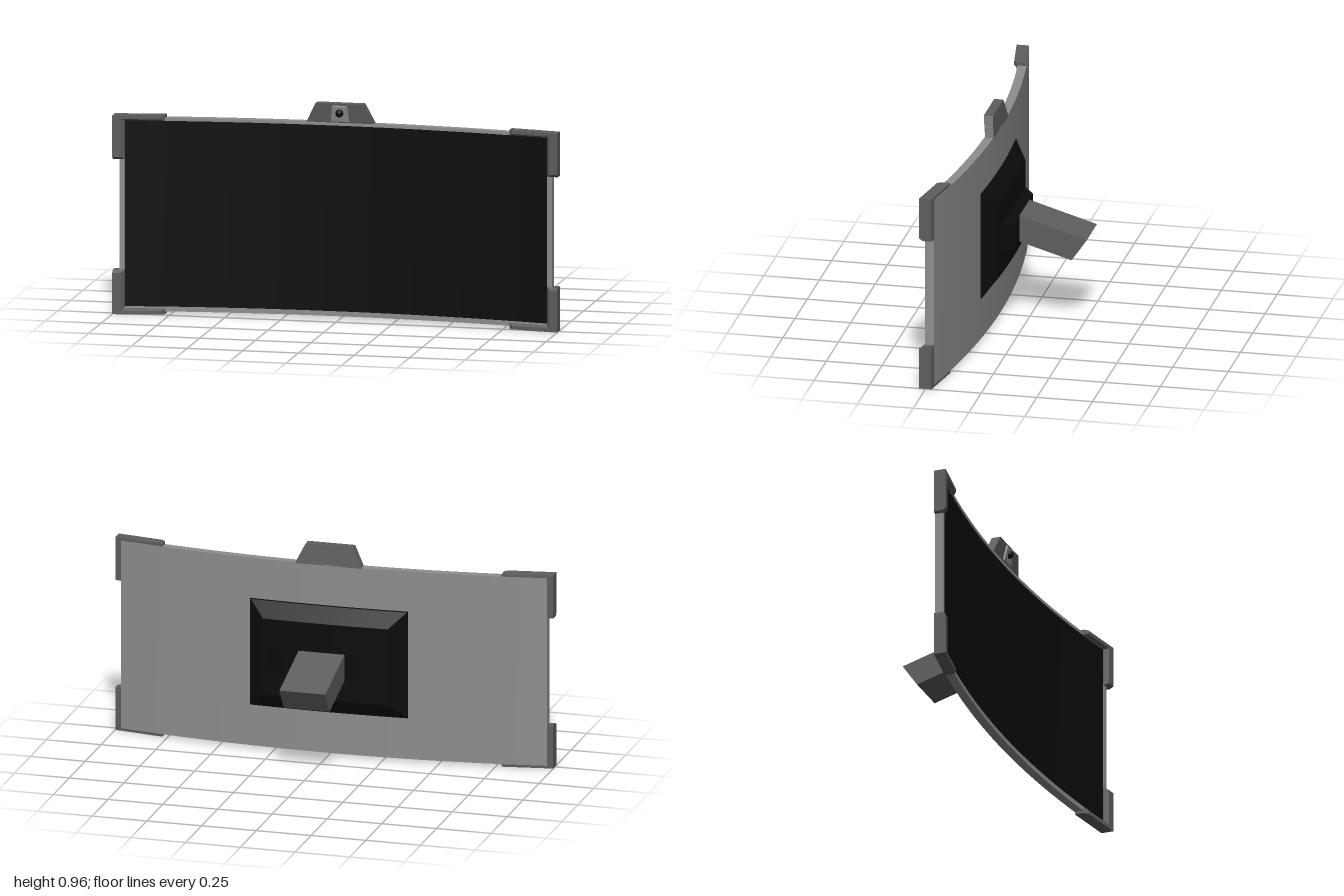
import * as THREE from 'three';

const H = 0.887; // total panel height, brackets included
const mat = (name, color) => {
  const m = new THREE.MeshStandardMaterial({ color });
  m.name = name;
  return m;
};

// Move every vertex by a rule, then refresh the normals
function warp(geo, rule) {
  const p = geo.attributes.position, v = new THREE.Vector3();
  for (let i = 0; i < p.count; i++) {
    rule(v.fromBufferAttribute(p, i));
    p.setXYZ(i, v.x, v.y, v.z);
  }
  geo.computeVertexNormals();
  return geo;
}

// Curve of the panel; z = 0 is the back of the panel
const bend = (v) => { v.z += 0.13 + 0.092 * v.x * v.x; };

// Box between two corners, curved with the panel
function bentBox(x0, x1, y0, y1, z0, z1, segments) {
  const geo = new THREE.BoxGeometry(x1 - x0, y1 - y0, z1 - z0, segments, 1, 1);
  geo.translate((x0 + x1) / 2, (y0 + y1) / 2, (z0 + z1) / 2);
  return warp(geo, bend);
}

// Six-sided block: unit box whose corners are placed by a rule
const block = (rule, segments = 1) => warp(new THREE.BoxGeometry(1, 1, 1, segments, 1, 1), rule);

export function createModel() {
  const model = new THREE.Group();
  const shell = mat('shellGrey', 0x8e8e8e);
  const dark = mat('darkGrey', 0x5e5e5e);
  const black = mat('black', 0x0b0b0b);
  const add = (name, geo, material) => {
    const mesh = new THREE.Mesh(geo, material);
    mesh.name = name;
    model.add(mesh);
    return mesh;
  };

  // Curved back shell and raised rim
  const X = 0.973, Y0 = 0.012, Y1 = 0.875, SX = 0.95, SY0 = 0.033, SY1 = 0.862;
  add('shell', bentBox(-X, X, Y0, Y1, 0, 0.03, 24), shell);
  add('rimTop', bentBox(-X, X, SY1, Y1, 0.03, 0.04, 24), shell);
  add('rimBottom', bentBox(-X, X, Y0, SY0, 0.03, 0.04, 24), shell);
  for (const s of [-1, 1]) {
    const a = Math.min(s * SX, s * X), b = Math.max(s * SX, s * X);
    add(s > 0 ? 'rimLeft' : 'rimRight', bentBox(a, b, SY0, SY1, 0.03, 0.04, 1), shell);
  }

  // Screen
  add('screen', bentBox(-SX, SX, SY0, SY1, 0.03, 0.036, 24), black);

  // L-shaped corner brackets, chamfered towards the screen
  const outline = [[1, H], [0.775, H], [0.775, 0.862], [0.95, 0.862], [0.95, 0.69], [1, 0.69]];
  const chamfered = [[1, H], [0.79, H], [0.79, 0.871], [0.963, 0.871], [0.963, 0.702], [1, 0.702]];
  for (const sx of [-1, 1]) for (const top of [true, false]) {
    const place = ([x, y]) => new THREE.Vector2(sx * x, top ? y : H - y);
    const from = outline.map(place), to = chamfered.map(place);
    const geo = new THREE.ExtrudeGeometry(new THREE.Shape(from), { depth: 0.057, bevelEnabled: false, steps: 2 });
    warp(geo, (v) => {
      if (v.z > 0.05) {
        const i = from.findIndex((q) => Math.hypot(q.x - v.x, q.y - v.y) < 1e-4);
        v.x = to[i].x;
        v.y = to[i].y;
      } else if (v.z > 0.01) v.z = 0.042;
      // keep the back just clear of the shell
      else v.z = 0.001;
      bend(v);
    });
    add('cornerBracket', geo, dark);
  }

  // Rear mount: curved plinth, sloped cover and neck
  add('mountBase', bentBox(-0.36, 0.36, 0.2, 0.69, -0.003, 0.006, 10), black);
  add('mountCover', block((v) => {
    const back = v.z < 0;
    v.x *= back ? 0.57 : 0.715;
    v.y = 0.445 + v.y * (back ? 0.35 : 0.485);
    v.z = back ? -0.055 : -0.002;
    bend(v);
  }, 10), black);
  add('mountNeck', block((v) => {
    const back = v.z < 0;
    v.x *= back ? 0.36 : 0.54;
    v.y = 0.445 + v.y * 0.12;
    v.z = back ? 0.025 : 0.085;
  }), black);

  // Support arm, sloping down to the back
  add('supportArm', block((v) => {
    const back = v.z < 0, up = v.y > 0;
    v.x *= 0.21;
    v.y = back ? (up ? 0.414 : 0.315) : (up ? 0.505 : 0.385);
    v.z = back ? (up ? -0.278 : -0.21) : 0.026;
  }), dark);

  // Camera housing on the top edge
  add('cameraHousing', block((v) => {
    const up = v.y > 0, front = v.z > 0;
    v.x *= up ? 0.215 : 0.305;
    v.y = up ? 0.962 : 0.872;
    v.z = front ? (up ? 0.184 : 0.168) : (up ? 0.143 : 0.13);
  }), dark);

  // Camera face plate and lens
  add('cameraPlate', block((v) => {
    const up = v.y > 0, front = v.z > 0;
    v.x *= (up ? 0.07 : 0.088) - (front ? 0.008 : 0);
    v.y = up ? (front ? 0.95 : 0.956) : 0.882;
    v.z = (up ? 0.183 : 0.17) + (front ? 0.007 : -0.005);
  }), shell);
  const lens = add('cameraLens', new THREE.SphereGeometry(0.018, 20, 14), black);
  lens.position.set(0, 0.92, 0.184);

  return model;
}
